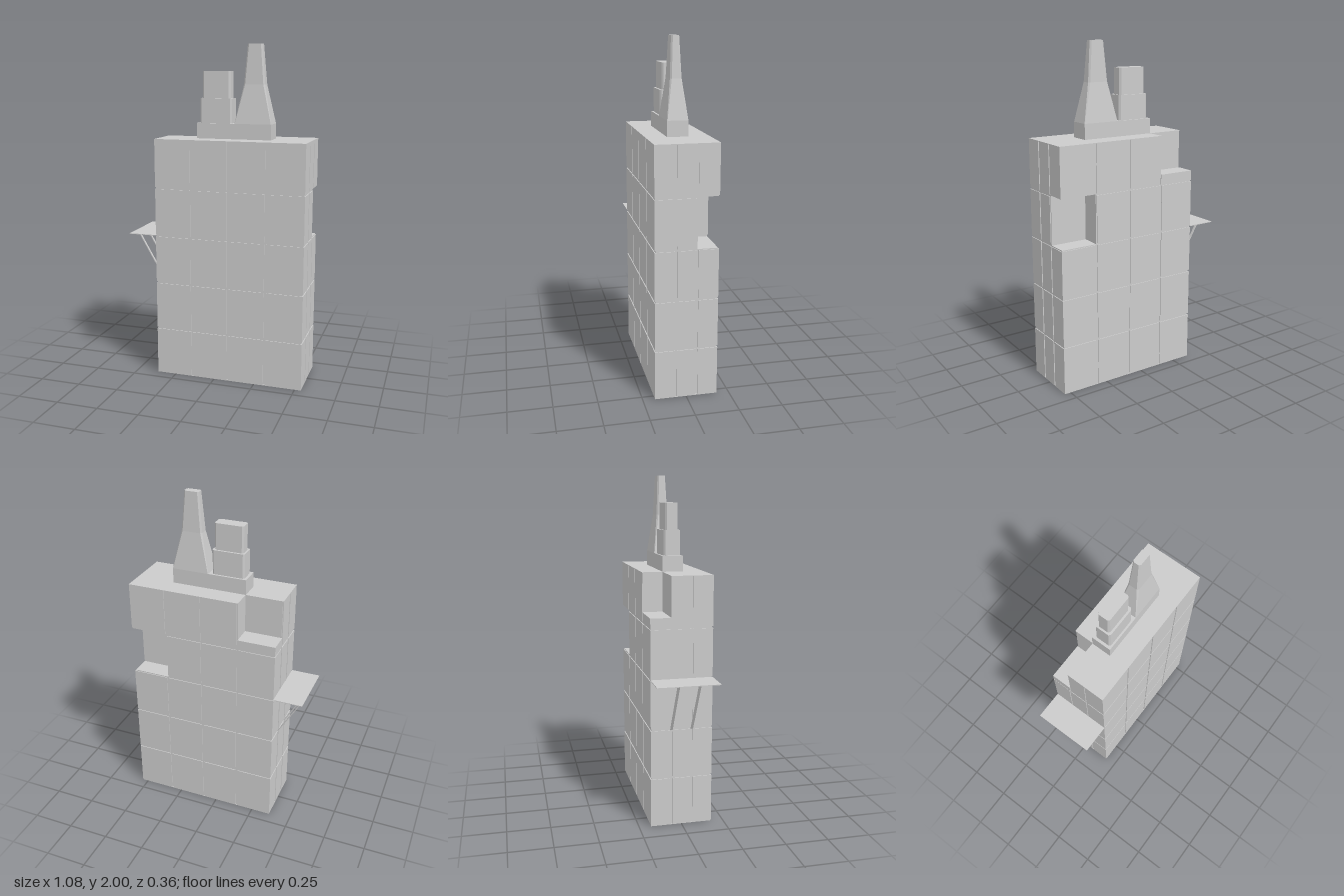
import * as THREE from 'three';

const material = new THREE.MeshStandardMaterial({ color: 0xcccccc, flatShading: true, side: THREE.DoubleSide });

function addMesh(parent, name, geometry) {
  const mesh = new THREE.Mesh(geometry, material);
  mesh.name = name;
  parent.add(mesh);
  return mesh;
}

// Box from its lower and upper corners
function addBox(parent, name, lo, hi) {
  const mesh = addMesh(parent, name, new THREE.BoxGeometry(hi[0] - lo[0], hi[1] - lo[1], hi[2] - lo[2]));
  mesh.position.set((lo[0] + hi[0]) / 2, (lo[1] + hi[1]) / 2, (lo[2] + hi[2]) / 2);
  return mesh;
}

// Loft of rectangles with cut corners; each level is [y, halfX, halfZ, cut]
function chamferedLoft(levels) {
  const positions = [], index = [];
  for (const [y, a, b, c] of levels) {
    const ring = [[a, b - c], [a - c, b], [c - a, b], [-a, b - c], [-a, c - b], [c - a, -b], [a - c, -b], [a, c - b]];
    for (const [x, z] of ring) positions.push(x, y, z);
  }
  const last = (levels.length - 1) * 8;
  for (let l = 0; l < last; l += 8) {
    for (let i = 0; i < 8; i++) {
      const j = (i + 1) % 8;
      index.push(l + i, l + 8 + i, l + j, l + j, l + 8 + i, l + 8 + j);
    }
  }
  for (let i = 1; i < 7; i++) {
    index.push(0, i, i + 1, last, last + i + 1, last + i);
  }
  const geometry = new THREE.BufferGeometry();
  geometry.setAttribute('position', new THREE.Float32BufferAttribute(positions, 3));
  geometry.setIndex(index);
  const flat = geometry.toNonIndexed();
  flat.computeVertexNormals();
  return flat;
}

const LO = [-0.367, 0, -0.18], HI = [0.538, 1.455, 0.18], COUNT = [4, 5, 3];
const GAP = 0.006, INSET = 0.005;
const edge = (axis, i) => LO[axis] + (HI[axis] - LO[axis]) * i / COUNT[axis];

// Building of stacked blocks with narrow grooves and two missing blocks
function buildBody() {
  const body = new THREE.Group();
  body.name = 'building';
  for (let i = 0; i < COUNT[0]; i++) {
    for (let j = 0; j < COUNT[1]; j++) {
      for (let k = 0; k < COUNT[2]; k++) {
        const openWindow = i === 3 && j === 3 && k === 0;
        const terrace = i === 0 && j === 4 && k === 0;
        if (openWindow || terrace) continue;
        const cell = [i, j, k];
        const block = { lo: [], hi: [] }, core = { lo: [], hi: [] };
        cell.forEach((n, axis) => {
          const first = n === 0, final = n === COUNT[axis] - 1;
          const inset = axis === 1 ? 0 : INSET;
          block.lo.push(edge(axis, n) + (first ? 0 : GAP));
          block.hi.push(edge(axis, n + 1) - (final ? 0 : GAP));
          core.lo.push(edge(axis, n) + (first ? inset : 0));
          core.hi.push(edge(axis, n + 1) - (final ? inset : 0));
        });
        addBox(body, 'wallBlock', block.lo, block.hi);
        addBox(body, 'groove', core.lo, core.hi);
      }
    }
  }
  // Low slab on the back corner terrace
  addBox(body, 'terraceSlab', [edge(0, 0), edge(1, 4), edge(2, 0)], [edge(0, 1), edge(1, 4) + 0.06, edge(2, 1)]);
  // Roof skin
  addBox(body, 'roof', [LO[0], HI[1] - 0.004, edge(2, 1)], HI);
  addBox(body, 'roofBack', [edge(0, 1), HI[1] - 0.004, LO[2]], [HI[0], HI[1], edge(2, 1)]);
  // Floor skin
  addBox(body, 'floor', LO, [HI[0], 0.004, HI[2]]);
  return body;
}

// Rooftop base, stepped block and tapering spire
function buildRoofTowers() {
  const towers = new THREE.Group();
  towers.name = 'roofTowers';
  addBox(towers, 'towerBase', [-0.143, 1.455, -0.06], [0.308, 1.545, 0.06]);
  const stepped = addMesh(towers, 'steppedTower', chamferedLoft([
    [1.545, 0.097, 0.049, 0.01], [1.69, 0.097, 0.049, 0.01],
    [1.69, 0.086, 0.037, 0.01], [1.845, 0.086, 0.037, 0.01],
  ]));
  stepped.position.x = -0.03;
  const spire = addMesh(towers, 'spire', chamferedLoft([
    [1.545, 0.11, 0.06, 0.002], [1.77, 0.063, 0.033, 0.009], [2, 0.044, 0.023, 0.009],
  ]));
  spire.position.x = 0.198;
  return towers;
}

// Side canopy on two slanted struts
function buildCanopy() {
  const canopy = new THREE.Group();
  canopy.name = 'canopy';
  addBox(canopy, 'canopyPlate', [-0.54, 0.872, -0.18], [-0.367, 0.876, 0.18]);
  const dx = 0.171, dy = 0.295;
  for (const z of [-0.06, 0.06]) {
    const strut = addMesh(canopy, 'canopyStrut', new THREE.BoxGeometry(0.005, Math.hypot(dx, dy), 0.014));
    strut.position.set(-0.367 - dx / 2 + 0.001, 0.873 - dy / 2, z);
    strut.rotation.z = Math.atan2(dx, dy);
  }
  return canopy;
}

export function createModel() {
  const model = new THREE.Group();
  model.name = 'towerBuilding';
  model.add(buildBody(), buildRoofTowers(), buildCanopy());
  return model;
}
